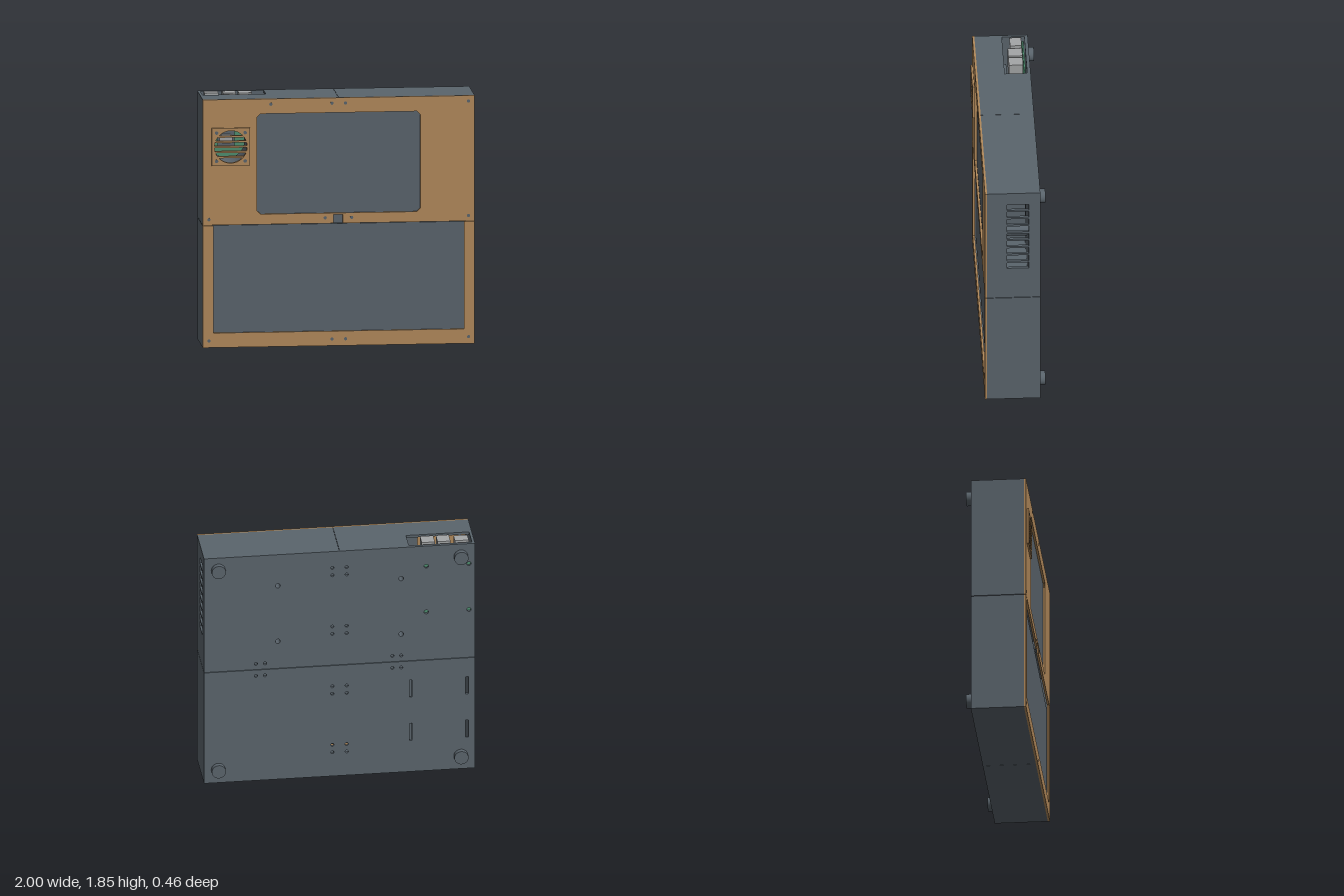
import * as THREE from 'three';

const mat = (name, color) => { const m = new THREE.MeshStandardMaterial({ color }); m.name = name; return m; };

export function createModel() {
  const root = new THREE.Group();
  root.name = 'consoleCase';
  const slate = mat('slate grey', 0x5a646c);
  const tan = mat('tan', 0xb1895b);
  const green = mat('board green', 0x4f8f70);
  const silver = mat('connector silver', 0xa3a5a6);

  const add = (name, geo, material) => {
    const m = new THREE.Mesh(geo, material);
    m.name = name;
    root.add(m);
    return m;
  };
  // box given by its limits on each axis
  const box = (name, material, x0, x1, y0, y1, z0, z1) =>
    add(name, new THREE.BoxGeometry(x1 - x0, y1 - y0, z1 - z0), material)
      .position.set((x0 + x1) / 2, (y0 + y1) / 2, (z0 + z1) / 2);
  // cylinder along z
  const rod = (name, material, x, y, r, z0, z1, sides = 24) =>
    add(name, new THREE.CylinderGeometry(r, r, z1 - z0, sides).rotateX(Math.PI / 2), material)
      .position.set(x, y, (z0 + z1) / 2);

  const poly = (pts, Kind = THREE.Shape) => new Kind(pts.map(([x, y]) => new THREE.Vector2(x, y)));
  const rect = (x0, x1, y0, y1, Kind) => poly([[x0, y0], [x1, y0], [x1, y1], [x0, y1]], Kind);
  const rectHole = (x0, x1, y0, y1) => rect(x0, x1, y0, y1, THREE.Path);
  const roundHole = (x, y, r) => new THREE.Path().absarc(x, y, r, 0, Math.PI * 2, true);
  const plate = (shape, holes, depth, z = 0, curveSegments = 8) => {
    shape.holes.push(...holes);
    return new THREE.ExtrudeGeometry(shape, { depth, bevelEnabled: false, curveSegments }).translate(0, 0, z);
  };

  const H = 1.84, ZB = -0.19, ZF = 0.2, T = 0.02, SEAM = 0.907, GAP = 0.002;
  const lowTop = SEAM - GAP, upBottom = SEAM + GAP;

  // back panels with mounting holes and strap slots
  const upperHoles = [], lowerHoles = [];
  for (const y of [1.585, 1.13]) for (const x of [0.455, -0.455]) upperHoles.push(roundHole(x, y, 0.018));
  for (const y of [1.675, 1.3]) for (const x of [-0.64, -0.955]) upperHoles.push(roundHole(x, y, 0.016));
  for (const x of [0.053, -0.053]) {
    for (const y of [1.705, 1.645, 1.225, 1.165]) upperHoles.push(roundHole(x, y, 0.012));
    for (const y of [0.735, 0.675, 0.255, 0.195]) lowerHoles.push(roundHole(x, y, 0.012));
  }
  for (const x of [0.617, 0.55, -0.39, -0.455]) {
    upperHoles.push(roundHole(x, 0.955, 0.012));
    lowerHoles.push(roundHole(x, 0.857, 0.012));
  }
  for (const x of [-0.525, -0.94]) for (const y of [0.61, 0.255])
    lowerHoles.push(rectHole(x - 0.01, x + 0.01, y, y + 0.14));
  add('upperBackPanel', plate(rect(-1, 1, upBottom, H), upperHoles, T, ZB), slate);
  add('lowerBackPanel', plate(rect(-1, 1, 0, lowTop), lowerHoles, T, ZB), slate);

  // side walls, vented on the left one
  box('upperRightWall', slate, -1, -1 + T, upBottom, H - T, ZB + T, ZF);
  box('lowerRightWall', slate, -1, -1 + T, T, lowTop, ZB + T, ZF);
  box('lowerLeftWall', slate, 1 - T, 1, T, lowTop, ZB + T, ZF);
  const vents = [];
  for (let i = 0; i < 9; i++) {
    const y = 1.17 + i * 0.065;
    vents.push(rectHole(-0.055, 0.105, y, y + 0.05));
  }
  add('ventedLeftWall', plate(rect(-ZF, -ZB - T, upBottom, H - T), vents, T).rotateY(Math.PI / 2)
    .translate(1 - T, 0, 0), slate);

  // top and bottom walls, split in the middle, with the connector opening
  const opening = [rectHole(-0.98, -0.515, 0, 0.165)];
  for (const s of [-1, 1]) {
    const x0 = s < 0 ? -1 : GAP / 2, x1 = s < 0 ? -GAP / 2 : 1;
    add('topWall', plate(rect(x0, x1, -ZF, -ZB - T), s < 0 ? opening : [], T)
      .rotateX(-Math.PI / 2).translate(0, H - T, 0), slate);
    box('bottomWall', slate, x0, x1, 0, T, ZB + T, ZF);
  }

  // feet
  for (const x of [-0.895, 0.895]) for (const y of [0.107, 1.74]) rod('foot', slate, x, y, 0.052, -0.23, ZB, 32);

  // front plates with screen opening, latch notch and keyboard bay
  const fx = -0.795, fy = 1.49, c = 0.025;
  const screenHole = poly([[-0.6 + c, 0.985], [0.6 - c, 0.985], [0.6, 0.985 + c], [0.6, 1.73 - c],
    [0.6 - c, 1.73], [-0.6 + c, 1.73], [-0.6, 1.73 - c], [-0.6, 0.985 + c]], THREE.Path);
  const upperOutline = poly([[-1, upBottom], [-0.04, upBottom], [-0.04, 0.972], [0.03, 0.972],
    [0.03, upBottom], [1, upBottom], [1, H], [-1, H]]);
  add('upperFrontPlate', plate(upperOutline, [screenHole, roundHole(fx, fy, 0.12)], 0.016, ZF, 24), tan);
  add('lowerFrontPlate', plate(poly([[-1, 0], [1, 0], [1, lowTop], [0.922, lowTop], [0.922, 0.108],
    [-0.922, 0.108], [-0.922, lowTop], [-1, lowTop]]), [], 0.016, ZF), tan);
  box('screen', slate, -0.62, 0.62, 0.975, 1.75, 0.17, 0.199);
  box('keyboardBay', slate, -0.95, 0.95, 0.08, 0.903, 0.17, 0.193);
  box('latch', slate, -0.04, 0.03, 0.91, 0.973, 0.17, 0.205);

  // front screws
  const screws = [[-0.5, 1.8], [-0.05, 1.8], [0.05, 1.8], [0.955, 1.8], [-0.955, 0.95], [-0.1, 0.95],
    [0.095, 0.95], [0.955, 0.95], [-0.955, 0.05], [-0.05, 0.05], [0.05, 0.05], [0.955, 0.05]];
  for (const [x, y] of screws) rod('screw', slate, x, y, 0.012, 0.214, 0.217, 12);

  // fan with guard and grille bars
  const square = () => rect(fx - 0.14, fx + 0.14, fy - 0.14, fy + 0.14);
  add('fanFrame', plate(square(), [roundHole(fx, fy, 0.125)], 0.229, -0.03, 24), slate);
  add('fanGuard', plate(square(), [roundHole(fx, fy, 0.12)], 0.014, 0.216, 24), tan);
  for (let i = -2; i <= 2; i++) {
    const y = i * 0.038, w = Math.sqrt(0.12 ** 2 - y ** 2);
    box('grilleBar', tan, fx - w, fx + w, fy + y - 0.007, fy + y + 0.007, 0.205, 0.228);
  }
  for (const sx of [-1, 1]) for (const sy of [-1, 1])
    rod('guardScrew', slate, fx + sx * 0.105, fy + sy * 0.105, 0.013, 0.229, 0.232, 12);

  // circuit board with chip and connectors
  box('circuitBoard', green, -0.975, -0.615, 1.25, 1.8, -0.158, -0.146);
  box('chipSocket', slate, -0.857, -0.733, 1.43, 1.552, -0.146, -0.13);
  add('chip', plate(poly([[-0.825, 1.458], [-0.765, 1.458], [-0.748, 1.475], [-0.748, 1.508],
    [-0.765, 1.525], [-0.825, 1.525], [-0.842, 1.508], [-0.842, 1.475]]), [], 0.012, -0.13), silver);
  for (const [x0, x1, z1] of [[-0.96, -0.858, -0.055], [-0.825, -0.73, -0.036], [-0.71, -0.613, -0.036]])
    box('topConnector', silver, x0, x1, 1.69, 1.845, -0.14, z1);
  for (const [y0, y1] of [[1.33, 1.42], [1.46, 1.54], [1.6, 1.66]])
    box('sideConnector', silver, -0.66, -0.6, y0, y1, -0.146, -0.095);

  // hollow standoffs holding the screen
  for (const x of [-0.455, 0.455]) for (const y of [1.13, 1.585]) {
    const ring = new THREE.Shape().absarc(x, y, 0.045, 0, Math.PI * 2, false);
    add('standoff', plate(ring, [roundHole(x, y, 0.018)], 0.34, ZB + T, 16), slate);
  }
  return root;
}
